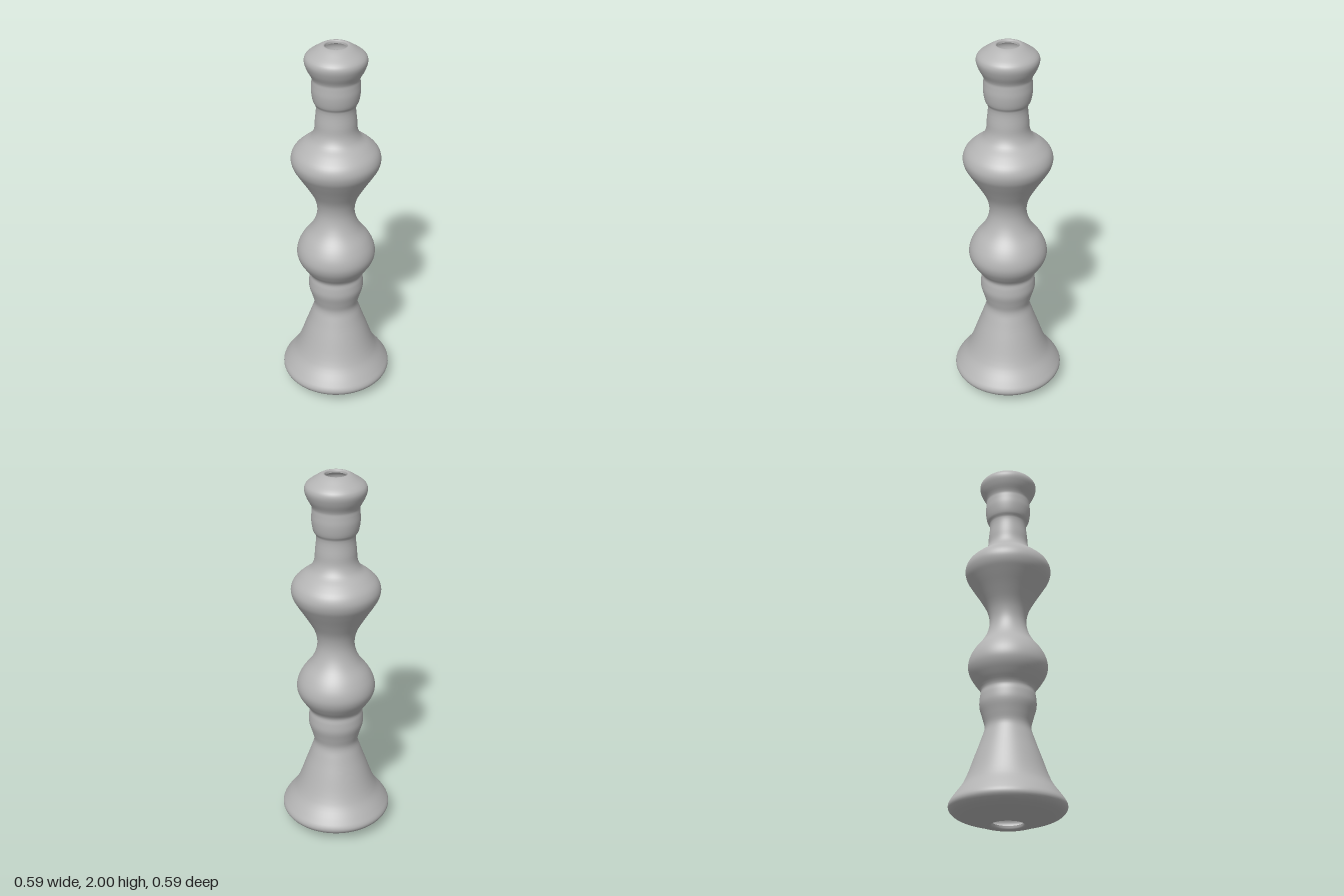
import * as THREE from 'three';

// Outer profile from base to mouth: [radius, height]
const PROFILE = [
  [0.077, 0.02], [0.082, 0.005], [0.1, 0], [0.19, 0.026], [0.27, 0.056], [0.292, 0.08], [0.293, 0.1], [0.272, 0.135], // foot
  [0.22, 0.21], [0.167, 0.35], [0.135, 0.44], [0.118, 0.5], // flared base
  [0.13, 0.555], [0.146, 0.615], [0.144, 0.665], [0.14, 0.7], // lower collar
  [0.17, 0.745], [0.197, 0.79], [0.207, 0.83], [0.2, 0.875], [0.175, 0.925], [0.13, 0.985], // lower bulb
  [0.105, 1.04], [0.097, 1.095], [0.11, 1.16], // waist
  [0.15, 1.235], [0.2, 1.315], [0.222, 1.355], [0.229, 1.395], [0.215, 1.435], [0.175, 1.475], [0.13, 1.51], // upper bulb
  [0.11, 1.55], [0.105, 1.605], [0.1, 1.685], // neck
  [0.113, 1.71], [0.122, 1.765], [0.12, 1.81], [0.12, 1.835], // upper collar
  [0.143, 1.88], [0.155, 1.92], [0.148, 1.945], [0.11, 1.975], [0.067, 1.999], [0.056, 1.997], [0.053, 1.985], // rounded lip
];

export function createModel() {
  const group = new THREE.Group();
  group.name = 'turnedCandlestick';

  const gray = new THREE.MeshStandardMaterial({ color: 0xb4b4b4, side: THREE.DoubleSide });
  gray.name = 'plain gray';

  // Smooth the profile and spin it into a hollow shell open at both ends
  const curve = new THREE.CatmullRomCurve3(PROFILE.map(([r, y]) => new THREE.Vector3(r, y, 0)), false, 'centripetal');
  const points = curve.getPoints((PROFILE.length - 1) * 4).map((p) => new THREE.Vector2(p.x, Math.min(2, Math.max(0, p.y))));
  const body = new THREE.Mesh(new THREE.LatheGeometry(points, 64), gray);
  body.name = 'turnedBody';
  group.add(body);

  return group;
}
